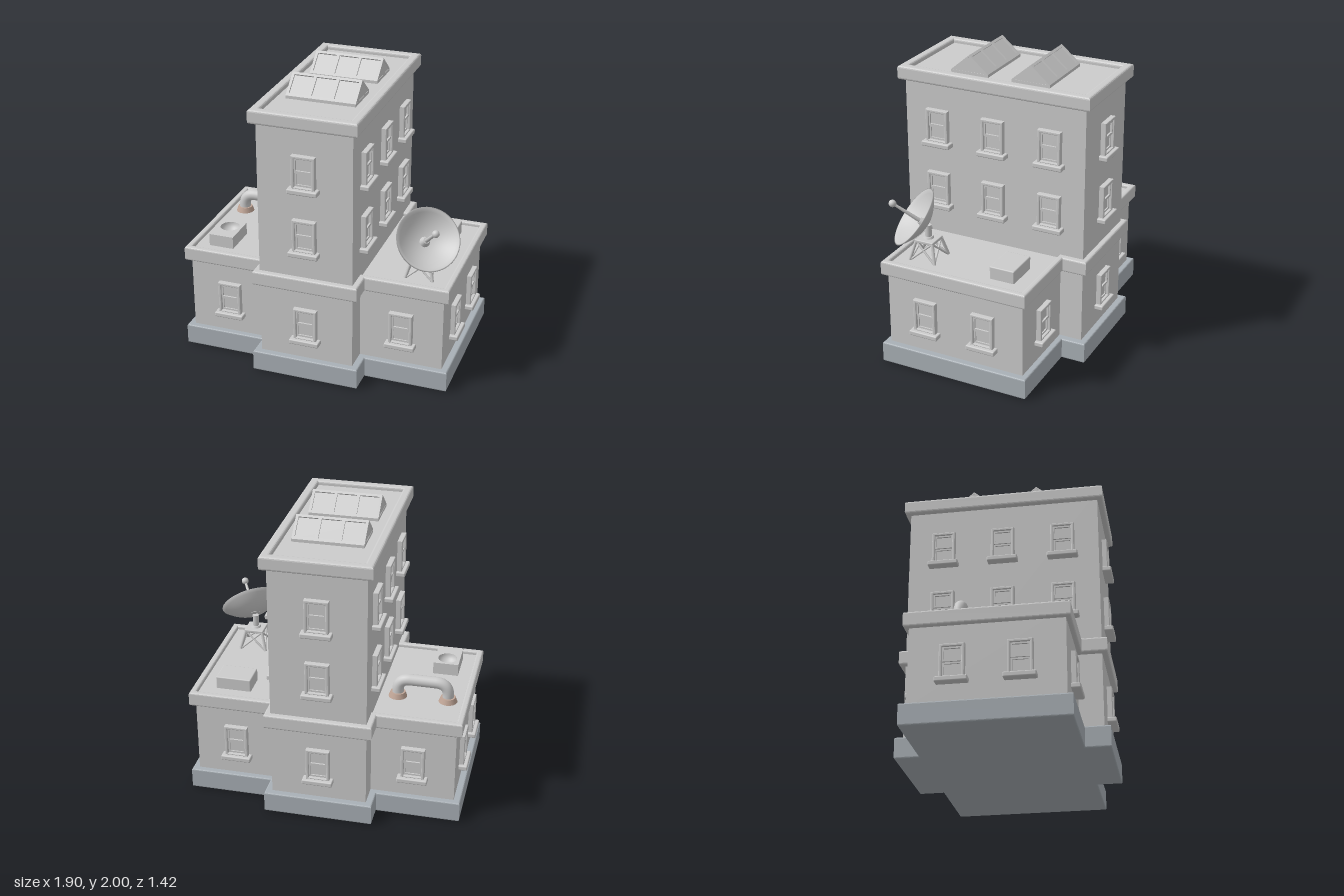
import * as THREE from 'three';
import { RoundedBoxGeometry } from 'three/addons/geometries/RoundedBoxGeometry.js';

const mat = (color) => new THREE.MeshStandardMaterial({ color });
const grey = mat(0xcccccc);
const stone = mat(0xa9b0b6);
const copper = mat(0xc0a596);
const thin = new THREE.MeshStandardMaterial({ color: 0xcccccc, side: THREE.DoubleSide });

function add(parent, name, geo, material = grey, x = 0, y = 0, z = 0) {
  const m = new THREE.Mesh(geo, material);
  m.name = name;
  m.position.set(x, y, z);
  parent.add(m);
  return m;
}

// box from y0 to y1, centred on x, z
function box(parent, name, w, y0, y1, d, x = 0, z = 0, r = 0) {
  const h = y1 - y0;
  const geo = r ? new RoundedBoxGeometry(w, h, d, 2, r) : new THREE.BoxGeometry(w, h, d);
  return add(parent, name, geo, grey, x, y0 + h / 2, z);
}

const polygon = (pts) => new THREE.Shape(pts.map((p) => new THREE.Vector2(...p)));
const rect = (x0, y0, x1, y1) => [[x0, y0], [x1, y0], [x1, y1], [x0, y1]];

// plan outline of a long tower (a, b) crossed by a wide wing block (c, d)
const cross = (a, b, c, d) => [
  [a, -b], [a, -d], [c, -d], [c, d], [a, d], [a, b],
  [-a, b], [-a, d], [-c, d], [-c, -d], [-a, -d], [-a, -b],
];

// horizontal slab with bevelled edges and optional holes
function slab(outline, holes, y0, y1, bevel) {
  const shape = polygon(outline);
  shape.holes = holes.map(polygon);
  const geo = new THREE.ExtrudeGeometry(shape, {
    depth: y1 - y0 - 2 * bevel, bevelThickness: bevel, bevelSize: bevel,
    bevelOffset: -bevel, bevelSegments: 3, curveSegments: 24,
  });
  geo.rotateX(-Math.PI / 2);
  return geo.translate(0, y0 + bevel, 0);
}

// round bar between two points
function rod(parent, name, a, b, r0, r1 = r0, sides = 8) {
  const dir = b.clone().sub(a);
  const m = add(parent, name, new THREE.CylinderGeometry(r1, r0, dir.length(), sides));
  m.position.copy(a).add(b).multiplyScalar(0.5);
  m.quaternion.setFromUnitVectors(new THREE.Vector3(0, 1, 0), dir.normalize());
  return m;
}

const V = (x, y, z) => new THREE.Vector3(x, y, z);

// window: frame, two sashes and a sill, facing +z with its foot at y = 0
const frameShape = polygon(rect(-0.08, 0, 0.08, 0.225));
frameShape.holes.push(polygon(rect(-0.06, 0.012, 0.06, 0.205)));
const frameGeo = new THREE.ExtrudeGeometry(frameShape, {
  depth: 0.03, bevelThickness: 0.005, bevelSize: 0.005, bevelOffset: -0.005, bevelSegments: 2,
});
const sashShape = polygon(rect(-0.062, 0, 0.062, 0.1));
sashShape.holes.push(polygon(rect(-0.05, 0.014, 0.05, 0.086)));
const sashGeo = new THREE.ExtrudeGeometry(sashShape, { depth: 0.012, bevelEnabled: false });
const paneGeo = new THREE.BoxGeometry(0.124, 0.2, 0.006);
const sillGeo = new RoundedBoxGeometry(0.206, 0.034, 0.075, 2, 0.008);

function addWindow(parent, x, y, z, turn) {
  const w = new THREE.Group();
  w.name = 'window';
  add(w, 'windowFrame', frameGeo);
  add(w, 'windowPane', paneGeo, grey, 0, 0.11, 0.003);
  add(w, 'lowerSash', sashGeo, grey, 0, 0.01, 0.003);
  add(w, 'upperSash', sashGeo, grey, 0, 0.108, 0.013);
  add(w, 'windowSill', sillGeo, grey, 0, -0.014, 0.023);
  w.position.set(x, y, z);
  w.rotation.y = turn;
  parent.add(w);
}

function addWindows(parent) {
  const levels = [0.298, 0.952, 1.4];
  for (const s of [1, -1]) {
    const face = s > 0 ? 0 : Math.PI;
    const side = s * Math.PI / 2;
    for (const y of levels) addWindow(parent, 0, y, s * 0.65, face);
    for (const x of [-0.61, 0.61]) addWindow(parent, x, levels[0], s * 0.49, face);
    for (const z of [-0.21, 0.21]) addWindow(parent, s * 0.89, levels[0], z, side);
    for (const y of levels.slice(1))
      for (const z of [-0.408, 0, 0.408]) addWindow(parent, s * 0.323, y, z, side);
  }
}

// gabled skylight with three panes on each slope
function addSkylight(parent, z) {
  const g = new THREE.Group();
  g.name = 'skylight';
  const half = 0.135, rise = 0.115, w = 0.237, len = Math.hypot(half, rise);
  const core = new THREE.ExtrudeGeometry(
    polygon([[-0.124, -0.03], [0.124, -0.03], [0.124, -0.005], [0, rise - 0.015], [-0.124, -0.005]]),
    { depth: 2 * w - 0.004, bevelEnabled: false });
  core.translate(0, 0, -w + 0.002).rotateY(Math.PI / 2);
  add(g, 'skylightGlass', core);
  box(g, 'skylightCurb', 2 * w, -0.03, 0, 2 * half);
  const shape = polygon(rect(-w, 0, w, len));
  for (const i of [-1, 0, 1])
    shape.holes.push(polygon(rect(i * 0.153 - 0.066, 0.02, i * 0.153 + 0.066, len - 0.018)));
  const slope = new THREE.ExtrudeGeometry(shape, { depth: 0.012, bevelEnabled: false });
  slope.translate(0, 0, -0.012).rotateX(-Math.atan2(half, rise)).translate(0, 0, half);
  add(g, 'skylightFrame', slope);
  add(g, 'skylightFrame', slope).rotation.y = Math.PI;
  g.position.set(0, 1.885, z);
  parent.add(g);
}

// satellite dish on a braced stand
function addDish(parent) {
  const g = new THREE.Group();
  g.name = 'satelliteDish';
  const cx = 0.69, cz = 0.295, y0 = 0.73, y1 = 0.86;
  const corner = (i, y, r) => {
    const a = Math.PI / 4 + i * Math.PI / 2;
    return V(cx + Math.SQRT2 * r * Math.cos(a), y, cz + Math.SQRT2 * r * Math.sin(a));
  };
  for (let i = 0; i < 4; i++) {
    rod(g, 'standLeg', corner(i, y0, 0.093), corner(i, y1, 0.06), 0.011);
    rod(g, 'standBrace', corner(i, y0, 0.09), corner(i + 1, y1, 0.06), 0.007);
    rod(g, 'standBrace', corner(i + 1, y0, 0.09), corner(i, y1, 0.06), 0.007);
  }
  box(g, 'standPlate', 0.138, 0.85, 0.872, 0.138, cx, cz, 0.006);
  rod(g, 'standCollar', V(cx, 0.87, cz), V(cx, 0.885, cz), 0.038, 0.03, 16);
  rod(g, 'standPost', V(cx, 0.87, cz), V(cx, 0.965, cz), 0.022, 0.022, 16);

  // parabolic bowl, its outer skin then its inner skin
  const bowl = new THREE.Group();
  bowl.name = 'dishBowl';
  const profile = [];
  for (let i = 0; i <= 10; i++) profile.push(new THREE.Vector2(0.215 * i / 10, 0.1 * (i / 10) ** 2));
  for (let i = 10; i >= 0; i--) profile.push(new THREE.Vector2(0.206 * i / 10, 0.01 + 0.092 * (i / 10) ** 2));
  add(bowl, 'dish', new THREE.LatheGeometry(profile, 40), thin);
  rod(bowl, 'feedHub', V(0, 0, 0), V(0, 0.055, 0), 0.04, 0.02, 16);
  rod(bowl, 'feedRod', V(0, 0.04, 0), V(0, 0.26, 0), 0.014, 0.009, 12);
  add(bowl, 'feedBall', new THREE.SphereGeometry(0.025, 16, 12), grey, 0, 0.27, 0);
  bowl.position.set(0.697, 0.967, 0.306);
  bowl.quaternion.setFromUnitVectors(V(0, 1, 0), V(0.45, 0.615, 0.65).normalize());
  g.add(bowl);
  parent.add(g);
}

// bent duct rising from the roof and returning to it
function addPipe(parent) {
  const xa = -0.785, xb = -0.444, z = -0.195, top = 0.862, r = 0.085;
  const path = new THREE.CurvePath();
  path.add(new THREE.LineCurve3(V(xa, 0.72, z), V(xa, top - r, z)));
  path.add(new THREE.QuadraticBezierCurve3(V(xa, top - r, z), V(xa, top, z), V(xa + r, top, z)));
  path.add(new THREE.LineCurve3(V(xa + r, top, z), V(xb - r, top, z)));
  path.add(new THREE.QuadraticBezierCurve3(V(xb - r, top, z), V(xb, top, z), V(xb, top - r, z)));
  path.add(new THREE.LineCurve3(V(xb, top - r, z), V(xb, 0.72, z)));
  add(parent, 'roofPipe', new THREE.TubeGeometry(path, 60, 0.039, 20));
  for (const x of [xa, xb])
    add(parent, 'pipeFlange', new THREE.CylinderGeometry(0.05, 0.063, 0.035, 24), copper, x, 0.7475, z);
}

// roof unit with a round sunken bowl in its lid
function addVent(parent) {
  const lid = polygon(rect(-0.087, -0.12, 0.087, 0.12));
  lid.holes.push(new THREE.Path().absarc(0, 0.035, 0.066, 0, Math.PI * 2, true));
  const geo = new THREE.ExtrudeGeometry(lid, { depth: 0.085, bevelEnabled: false, curveSegments: 24 });
  geo.rotateX(-Math.PI / 2);
  add(parent, 'ventBox', geo, grey, -0.713, 0.73, 0.275);
  const pts = [];
  for (let i = 0; i <= 8; i++) {
    const a = i / 8 * Math.PI / 2;
    pts.push(new THREE.Vector2(0.066 * Math.cos(a), -0.055 * Math.sin(a)));
  }
  add(parent, 'ventBowl', new THREE.LatheGeometry(pts, 32), thin, -0.713, 0.813, 0.24);
}

export function createModel() {
  const g = new THREE.Group();
  g.name = 'building';

  // plinth, walls and roof decks
  add(g, 'plinth', slab(cross(0.37, 0.695, 0.938, 0.53), [], 0, 0.145, 0.01), stone);
  box(g, 'wingWalls', 1.784, 0.13, 0.73, 0.98);
  box(g, 'towerWalls', 0.646, 0.13, 1.865, 1.3);

  // parapets
  const wells = [rect(0.3, -0.48, 0.886, 0.48), rect(-0.886, -0.48, -0.3, 0.48)];
  add(g, 'lowerParapet', slab(cross(0.363, 0.688, 0.93, 0.522), wells, 0.655, 0.755, 0.012));
  add(g, 'towerParapet', slab(rect(-0.363, -0.688, 0.363, 0.688),
    [rect(-0.3, -0.627, 0.3, 0.627)], 1.8, 1.895, 0.015));

  addWindows(g);
  addSkylight(g, 0.218);
  addSkylight(g, -0.222);
  addDish(g);
  addPipe(g);
  addVent(g);
  box(g, 'roofUnit', 0.243, 0.72, 0.817, 0.175, 0.66, -0.287, 0.008);
  return g;
}
